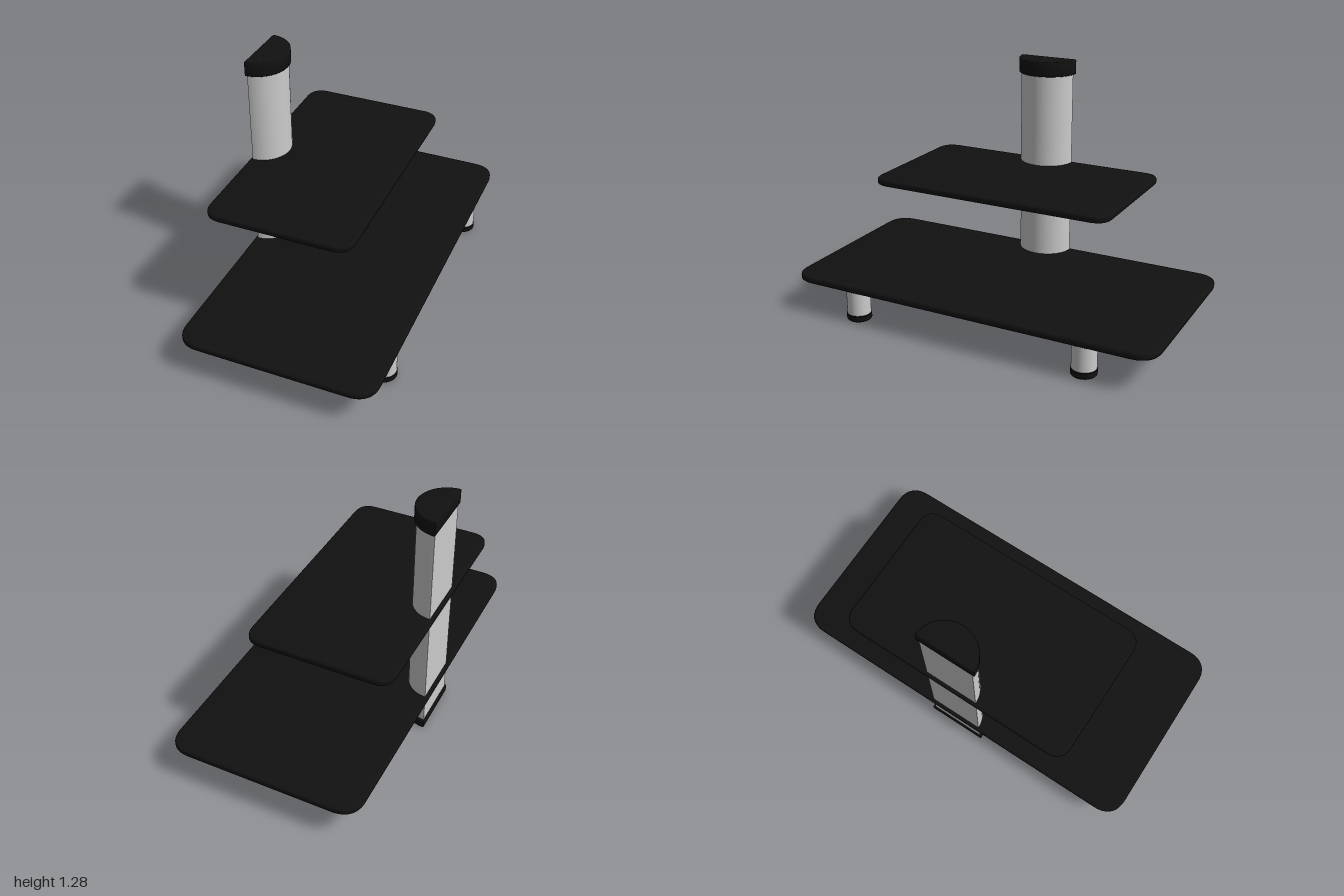
import * as THREE from 'three';
import { toCreasedNormals } from 'three/addons/utils/BufferGeometryUtils.js';

export function createModel() {
  const model = new THREE.Group();
  model.name = 'tieredStand';
  const grey = new THREE.MeshStandardMaterial({ color: 0xcccccc });
  const black = new THREE.MeshStandardMaterial({ color: 0x111111 });

  function add(name, geometry, material, x = 0, y = 0, z = 0) {
    const mesh = new THREE.Mesh(geometry, material);
    mesh.name = name;
    mesh.position.set(x, y, z);
    model.add(mesh);
  }

  // Upright extrusion from y0 to y1; the bevel stays inside the outline
  function slab(shape, y0, y1, bevel) {
    const geometry = new THREE.ExtrudeGeometry(shape, {
      depth: y1 - y0 - 2 * bevel,
      bevelEnabled: bevel > 0,
      bevelThickness: bevel,
      bevelSize: bevel,
      bevelOffset: -bevel,
      bevelSegments: 3,
      curveSegments: 16,
    });
    geometry.rotateX(-Math.PI / 2);
    geometry.translate(0, y0 + bevel, 0);
    return toCreasedNormals(geometry, 0.65);
  }

  // Board outline with soft corners
  function boardShape(x0, x1, halfZ, r) {
    const s = new THREE.Shape();
    const k = r * 0.35;
    s.moveTo(x0 + r, -halfZ);
    s.lineTo(x1 - r, -halfZ);
    s.bezierCurveTo(x1 - k, -halfZ, x1, -halfZ + k, x1, -halfZ + r);
    s.lineTo(x1, halfZ - r);
    s.bezierCurveTo(x1, halfZ - k, x1 - k, halfZ, x1 - r, halfZ);
    s.lineTo(x0 + r, halfZ);
    s.bezierCurveTo(x0 + k, halfZ, x0, halfZ - k, x0, halfZ - r);
    s.lineTo(x0, -halfZ + r);
    s.bezierCurveTo(x0, -halfZ + k, x0 + k, -halfZ, x0 + r, -halfZ);
    return s;
  }

  // Half-round outline, flat at the back edge
  function halfRound(x0, depth, halfZ) {
    const s = new THREE.Shape();
    s.moveTo(x0, -halfZ);
    s.absellipse(x0, 0, depth, halfZ, -Math.PI / 2, Math.PI / 2, false, 0);
    s.closePath();
    return s;
  }

  // Shelves
  add('lowerShelf', slab(boardShape(-0.505, 0.505, 1, 0.12), 0.175, 0.21, 0.01), black);
  add('upperShelf', slab(boardShape(-0.505, 0.25, 0.65, 0.09), 0.683, 0.718, 0.01), black);

  // Column with its end caps
  add('column', slab(halfRound(-0.49, 0.14, 0.145), 0.03, 1.22, 0), grey);
  add('columnBaseCap', slab(halfRound(-0.495, 0.155, 0.158), 0, 0.047, 0.006), black);
  add('columnTopCap', slab(halfRound(-0.495, 0.155, 0.158), 1.203, 1.283, 0.006), black);

  // Front legs with dark feet
  const footProfile = [
    [0, 0.006], [0.06, 0.006], [0.065, 0.012], [0.065, 0.038], [0.061, 0.043], [0, 0.043],
  ].map(([r, y]) => new THREE.Vector2(r, y));
  const footGeometry = toCreasedNormals(new THREE.LatheGeometry(footProfile, 40), 0.65);
  const legGeometry = new THREE.CylinderGeometry(0.062, 0.062, 0.15, 40);
  for (const side of [-1, 1]) {
    const label = side > 0 ? 'front' : 'back';
    add(label + 'Leg', legGeometry, grey, 0.43, 0.11, side * 0.638);
    add(label + 'Foot', footGeometry, black, 0.43, 0, side * 0.638);
  }

  return model;
}
